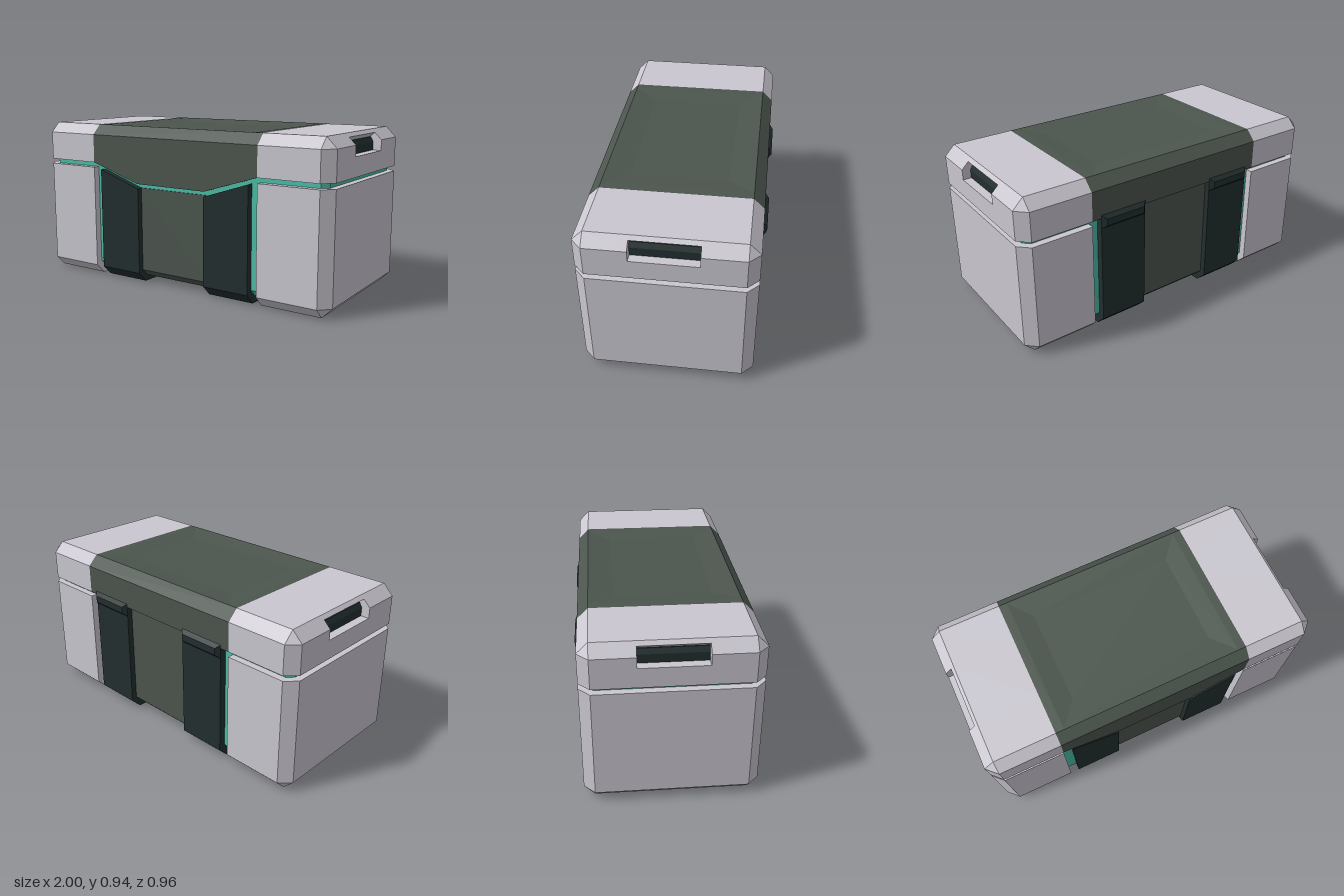
import * as THREE from 'three';
import { ConvexGeometry } from 'three/addons/geometries/ConvexGeometry.js';

const mat = (name, color) => Object.assign(new THREE.MeshStandardMaterial({ color }), { name });

export function createModel() {
  const grey = mat('paleGrey', 0xcac7d0);
  const green = mat('greyGreen', 0x4c554e);
  const dark = mat('darkSlate', 0x222e2e);
  const teal = mat('teal', 0x4cbca6);

  const model = new THREE.Group();
  model.name = 'storageCrate';
  const body = new THREE.Group();
  body.name = 'crateBody';
  body.position.z = 0.01;
  model.add(body);

  const add = (parent, name, geo, material) => {
    const mesh = new THREE.Mesh(geo, material);
    mesh.name = name;
    parent.add(mesh);
    return mesh;
  };
  const hull = pts => new ConvexGeometry(pts.map(p => new THREE.Vector3(...p)));
  // repeat points mirrored across the middle (z)
  const bothZ = pts => pts.flatMap(([x, y, z]) => [[x, y, z], [x, y, -z]]);
  // sweep a [z, y] profile from x0 to x1 (convex)
  const sweepX = (x0, x1, profile) => hull(profile.flatMap(([z, y]) => [[x0, y, z], [x1, y, z]]));
  // extrude an [x, y] outline from z0 to z1
  const extrudeZ = (outline, z0, z1) => {
    const shape = new THREE.Shape(outline.map(p => new THREE.Vector2(...p)));
    return new THREE.ExtrudeGeometry(shape, { depth: z1 - z0, bevelEnabled: false }).translate(0, 0, z0);
  };
  // stack rectangular rings [halfX, y, halfZ] and cap the last one
  const loft = rings => {
    const pos = [];
    const corners = rings.map(([x, y, z]) => [[-x, y, z], [x, y, z], [x, y, -z], [-x, y, -z]]);
    const quad = (a, b, c, d) => pos.push(...a, ...b, ...c, ...a, ...c, ...d);
    for (let i = 0; i < corners.length - 1; i++)
      for (let j = 0; j < 4; j++) {
        const k = (j + 1) % 4;
        quad(corners[i][j], corners[i][k], corners[i + 1][k], corners[i + 1][j]);
      }
    quad(...corners[corners.length - 1]);
    quad(...[...corners[0]].reverse());
    const geo = new THREE.BufferGeometry();
    geo.setAttribute('position', new THREE.Float32BufferAttribute(pos, 3));
    geo.computeVertexNormals();
    return geo;
  };

  const W = 1, D = 0.47, C = 0.06, IN = 0.58; // half width, half depth, chamfer, inner edge of ends

  // teal inner core, seen in the seams
  add(body, 'innerCore', hull(bothZ([-1, 1].flatMap(s => [
    [s * 0.96, 0.08, D - 0.075], [s * 0.925, 0.08, 0.43], [s * 0.925, 0.04, 0.39],
    [s * 0.96, 0.72, D - 0.075], [s * 0.925, 0.72, 0.43],
  ]))), teal);

  // the two ends
  for (const [side, turn] of [['left', 0], ['right', Math.PI]]) {
    const end = new THREE.Group();
    end.name = side + 'End';
    end.rotation.y = turn;
    body.add(end);
    add(end, 'lowerEnd', hull(bothZ([
      [IN, 0, D - C], [IN, C, D], [IN, 0.68, D],
      [W - C, 0, D - C], [W - C, C, D], [W, C, D - C],
      [W - C, 0.68, D], [W, 0.68, D - C],
    ])), grey);
    // lid end: corner blocks either side of the grip pocket
    const P = 0.18;
    for (const s of [-1, 1])
      add(end, 'lidCorner', hull([
        [IN, 0.71, D], [W - C, 0.71, D], [W, 0.71, D - C], [W, 0.71, P], [IN, 0.71, P],
        [IN, 0.88, D], [W - C, 0.88, D], [W, 0.88, D - C], [W, 0.88, P],
        [IN, 0.94, D - C], [W - C, 0.94, D - C], [W - C, 0.94, P], [IN, 0.94, P],
      ].map(([x, y, z]) => [x, y, s * z])), grey);
    add(end, 'lidGripSection', extrudeZ([
      [IN, 0.71], [W, 0.71], [W, 0.82], [0.945, 0.82], [0.945, 0.87],
      [0.93, 0.895], [0.96, 0.92], [W - C, 0.94], [IN, 0.94],
    ], -P, P), grey);
    add(end, 'gripPanel', extrudeZ([
      [0.925, 0.821], [0.952, 0.821], [0.952, 0.868], [0.936, 0.895], [0.925, 0.895],
    ], -P, P), dark);
  }

  // lid centre with a shallow sunken top
  add(body, 'lidCentre', loft([
    [IN, 0.71, D], [IN, 0.88, D], [IN, 0.94, D - C],
    [0.53, 0.94, D - C - 0.005], [0.42, 0.925, 0.27],
  ]), green);
  add(body, 'lidFrontFlap', extrudeZ([
    [-IN, 0.71], [-0.24, 0.605], [0.24, 0.605], [IN, 0.71],
  ], 0.425, D), green);

  // recessed centre panel wrapping front, bottom and back
  const panel = (name, s, top) => add(body, name, sweepX(-0.245, 0.245, [
    [0, 0.035], [s * 0.395, 0.035], [s * 0.436, 0.076], [s * 0.436, top], [0, top],
  ]), green);
  panel('frontCentrePanel', 1, 0.578);
  panel('backCentrePanel', -1, 0.71);

  // dark bands wrapping the base, with hinges at the back
  for (const s of [-1, 1]) {
    const band = (name, dir, tops) => add(body, name, hull([0.235, 0.525].flatMap((x, i) => [
      [s * x, 0, 0], [s * x, 0, dir * (D - C)], [s * x, C, dir * D],
      [s * x, tops[i], dir * D], [s * x, tops[i], 0],
    ])), dark);
    band('frontBand', 1, [0.575, 0.67]);
    band('backBand', -1, [0.68, 0.68]);
    add(body, 'hinge', hull([
      ...[0.235, 0.525].flatMap(x => [0.65, 0.73].flatMap(y => [[s * x, y, -0.42], [s * x, y, -D]])),
      ...[0.258, 0.502].flatMap(x => [0.67, 0.71].map(y => [s * x, y, -0.492])),
    ]), dark);
  }
  return model;
}
